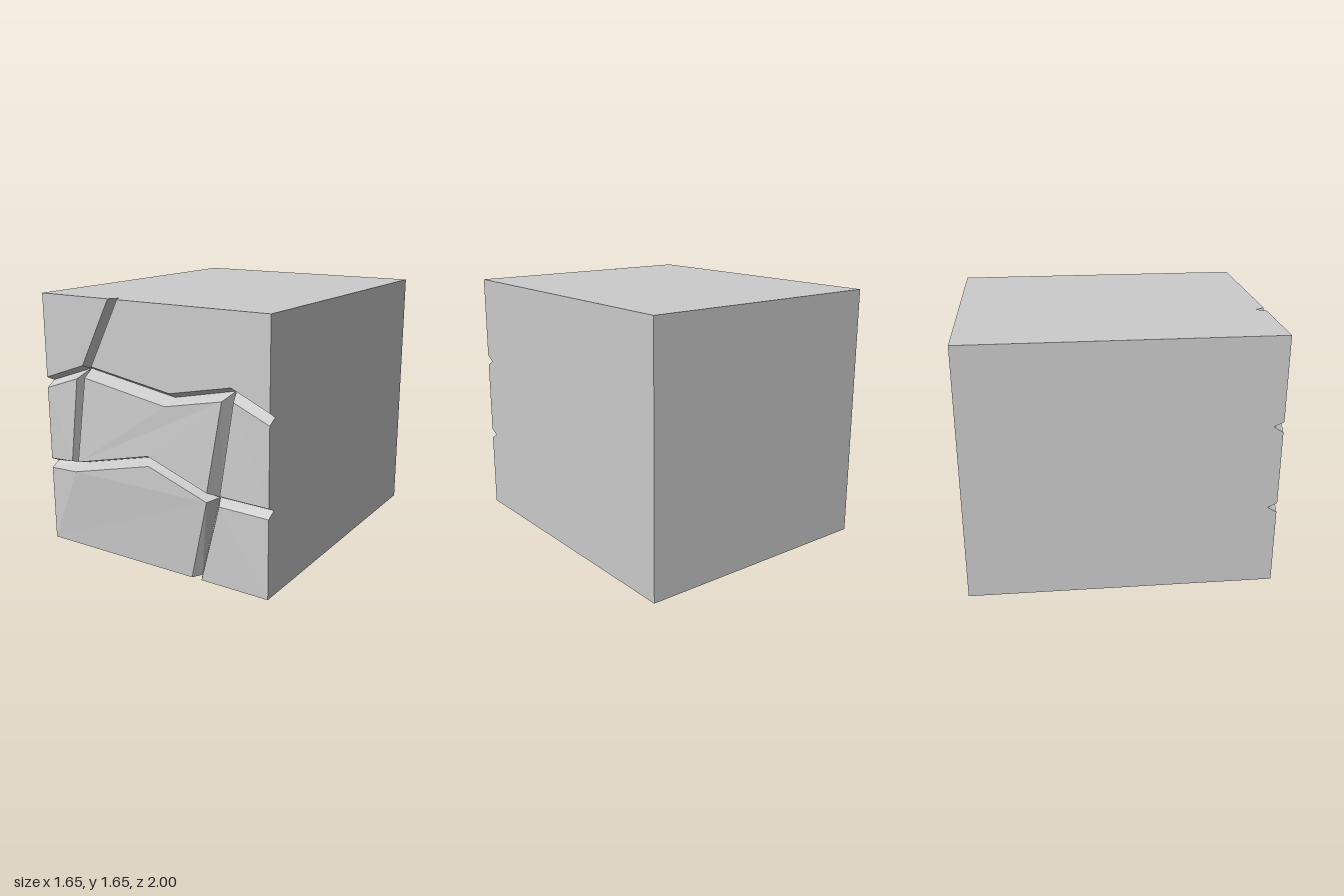
import * as THREE from 'three';

const W = 0.825, H = 1.65, BACK = -1, FLOOR = 0.885, FACE = 0.945;

// Bottom line of the cracks: the points where they meet, bend or leave the block
const P = {
  topLeft: [-W, H], topRight: [W, H], bottomLeft: [-W, 0], bottomRight: [W, 0],
  a: [-W, 1.08], b: [-0.495, 1.195], c: [0.15, 1.095], d: [0.575, 1.19], e: [W, 1.075],
  f: [-W, 0.53], g: [-0.575, 0.56], h: [0.015, 0.705], i: [0.465, 0.535], j: [W, 0.53],
  t: [-0.255, H], k: [0.33, 0],
};

// Each slab, counter-clockwise: foot point, then x, y, z of its front corner
const SLABS = {
  topLeftSlab: [['topLeft', -W, H, FACE], ['a', -W, 1.11, FACE], ['b', -0.515, 1.22, FACE], ['t', -0.29, H, FACE]],
  topRightSlab: [['t', -0.22, H, FACE], ['b', -0.445, 1.22, FACE], ['c', 0.15, 1.13, FACE],
    ['d', 0.575, 1.22, FACE], ['e', W, 1.11, FACE], ['topRight', W, H, FACE]],
  middleLeftSlab: [['a', -W, 1.04, FACE], ['f', -W, 0.56, FACE], ['g', -0.605, 0.59, 0.985], ['b', -0.535, 1.14, 0.98]],
  middleSlab: [['b', -0.465, 1.155, 0.985], ['g', -0.54, 0.6, 1], ['h', 0.015, 0.735, 0.99],
    ['i', 0.435, 0.585, 0.985], ['d', 0.53, 1.14, 0.97], ['c', 0.145, 1.06, 0.985]],
  middleRightSlab: [['d', 0.595, 1.14, 0.95], ['i', 0.505, 0.57, 0.955], ['j', W, 0.56, FACE], ['e', W, 1.04, FACE]],
  bottomLeftSlab: [['f', -W, 0.495, FACE], ['bottomLeft', -W, 0, FACE], ['k', 0.295, 0, FACE],
    ['i', 0.43, 0.525, 0.98], ['h', 0.015, 0.67, 0.985], ['g', -0.575, 0.525, 0.99]],
  bottomRightSlab: [['i', 0.5, 0.505, 0.955], ['k', 0.365, 0, FACE], ['bottomRight', W, 0, FACE], ['j', W, 0.495, FACE]],
};

// Front cap plus sloping walls down to the crack floor
function slabGeometry(corners) {
  const cap = corners.map(([, x, y, z]) => [x, y, z]);
  const foot = corners.map(([name]) => [...P[name], FLOOR]);
  const pos = [];
  const outline = cap.map(([x, y]) => new THREE.Vector2(x, y));
  for (const [a, b, c] of THREE.ShapeUtils.triangulateShape(outline, [])) {
    pos.push(...cap[a], ...cap[b], ...cap[c]);
  }
  cap.forEach((p, n) => {
    const m = (n + 1) % cap.length;
    pos.push(...foot[n], ...foot[m], ...cap[m], ...foot[n], ...cap[m], ...p);
  });
  const geometry = new THREE.BufferGeometry();
  geometry.setAttribute('position', new THREE.Float32BufferAttribute(pos, 3));
  geometry.computeVertexNormals();
  return geometry;
}

export function createModel() {
  const group = new THREE.Group();
  group.name = 'crackedStoneBlock';
  const stone = new THREE.MeshStandardMaterial({ color: 0xcccccc });
  stone.name = 'stone grey';

  const add = (name, geometry) => {
    const mesh = new THREE.Mesh(geometry, stone);
    mesh.name = name;
    group.add(mesh);
    return mesh;
  };

  // Solid block behind the cracked face
  add('blockCore', new THREE.BoxGeometry(2 * W, H, FLOOR - BACK))
    .position.set(0, H / 2, (FLOOR + BACK) / 2);

  // Slabs between the cracks
  for (const [name, corners] of Object.entries(SLABS)) add(name, slabGeometry(corners));

  return group;
}
